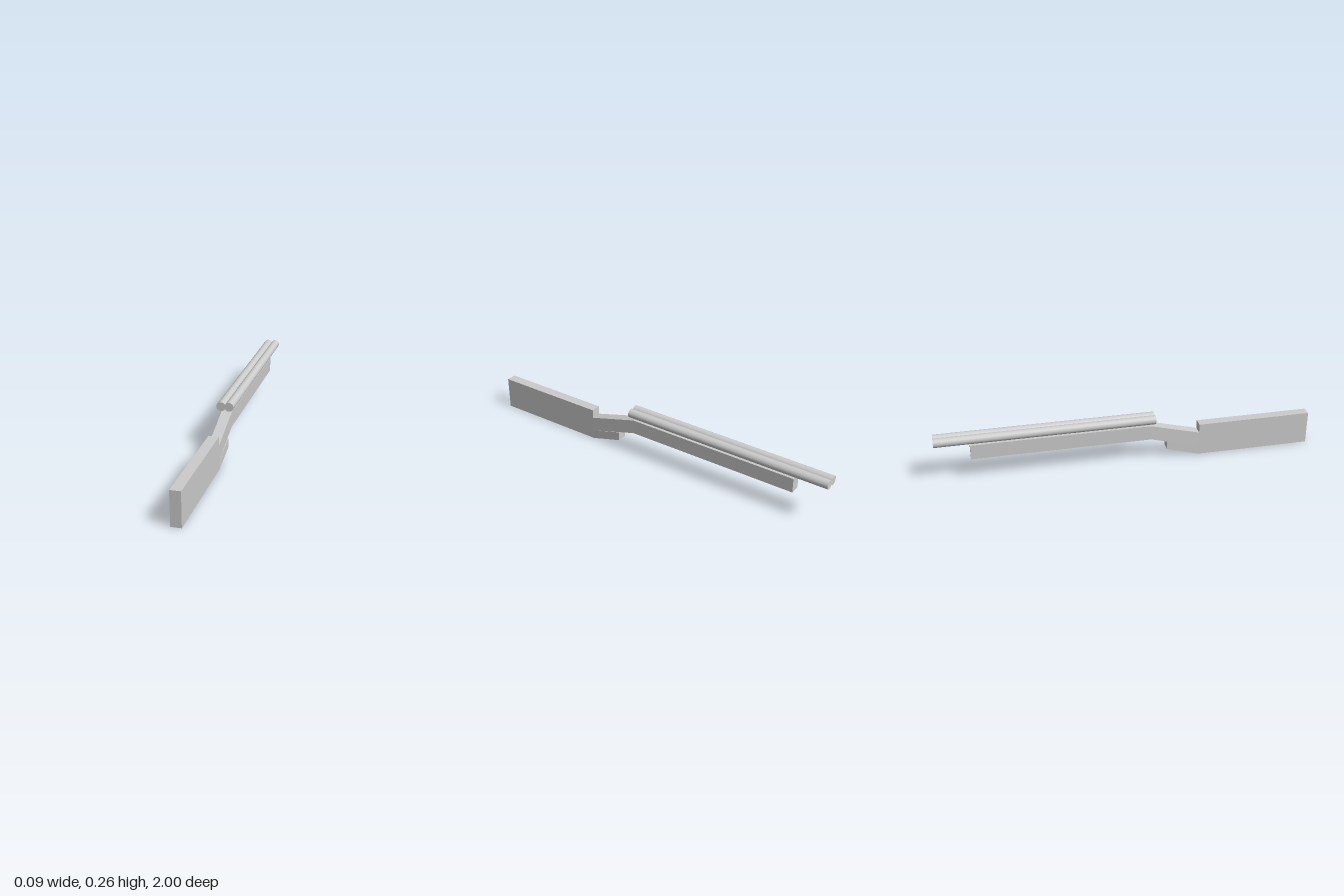
import * as THREE from 'three';

const material = new THREE.MeshStandardMaterial({ color: 0xcccccc });
const flatMaterial = new THREE.MeshStandardMaterial({ color: 0xcccccc, flatShading: true });

// Solid through rectangular sections [z, x0, x1, y0, y1], listed from front to back
function loft(name, sections) {
  const rings = sections.map(([z, x0, x1, y0, y1]) => [[x0, y0, z], [x1, y0, z], [x1, y1, z], [x0, y1, z]]);
  const points = [];
  const quad = (a, b, c, d) => points.push(...a, ...b, ...c, ...a, ...c, ...d);
  quad(...rings[0]);
  for (let k = 0; k < rings.length - 1; k++) {
    const a = rings[k], b = rings[k + 1];
    for (let i = 0; i < 4; i++) {
      const j = (i + 1) % 4;
      quad(a[i], b[i], b[j], a[j]);
    }
  }
  quad(...rings[rings.length - 1].slice().reverse());
  const geometry = new THREE.BufferGeometry();
  geometry.setAttribute('position', new THREE.Float32BufferAttribute(points, 3));
  geometry.computeVertexNormals();
  const mesh = new THREE.Mesh(geometry, flatMaterial);
  mesh.name = name;
  return mesh;
}

export function createModel() {
  const model = new THREE.Group();
  model.name = 'model';

  // Deep rectangular stock
  model.add(loft('stock', [
    [1, -0.019, 0.034, 0, 0.177],
    [0.385, -0.019, 0.034, 0, 0.177],
  ]));

  // Rising wrist, bending sideways a little into the long fore-end
  model.add(loft('wristAndForeEnd', [
    [0.385, -0.019, 0.034, 0.05, 0.13],
    [0.12, -0.025, 0.029, 0.124, 0.203],
    [-0.82, -0.025, 0.029, 0.124, 0.203],
  ]));

  // Short stub under the wrist
  model.add(loft('lowerStub', [
    [0.385, -0.019, 0.034, 0, 0.05],
    [0.21, -0.017, 0.036, 0.05, 0.099],
  ]));

  // Pair of parallel tubes above the fore-end
  for (const [name, x] of [['leftBarrel', 0.0205], ['rightBarrel', -0.0215]]) {
    const geometry = new THREE.CylinderGeometry(0.0237, 0.0237, 1.142, 32).rotateX(Math.PI / 2);
    const barrel = new THREE.Mesh(geometry, material);
    barrel.name = name;
    barrel.position.set(x, 0.238, -0.429);
    model.add(barrel);
  }

  return model;
}
